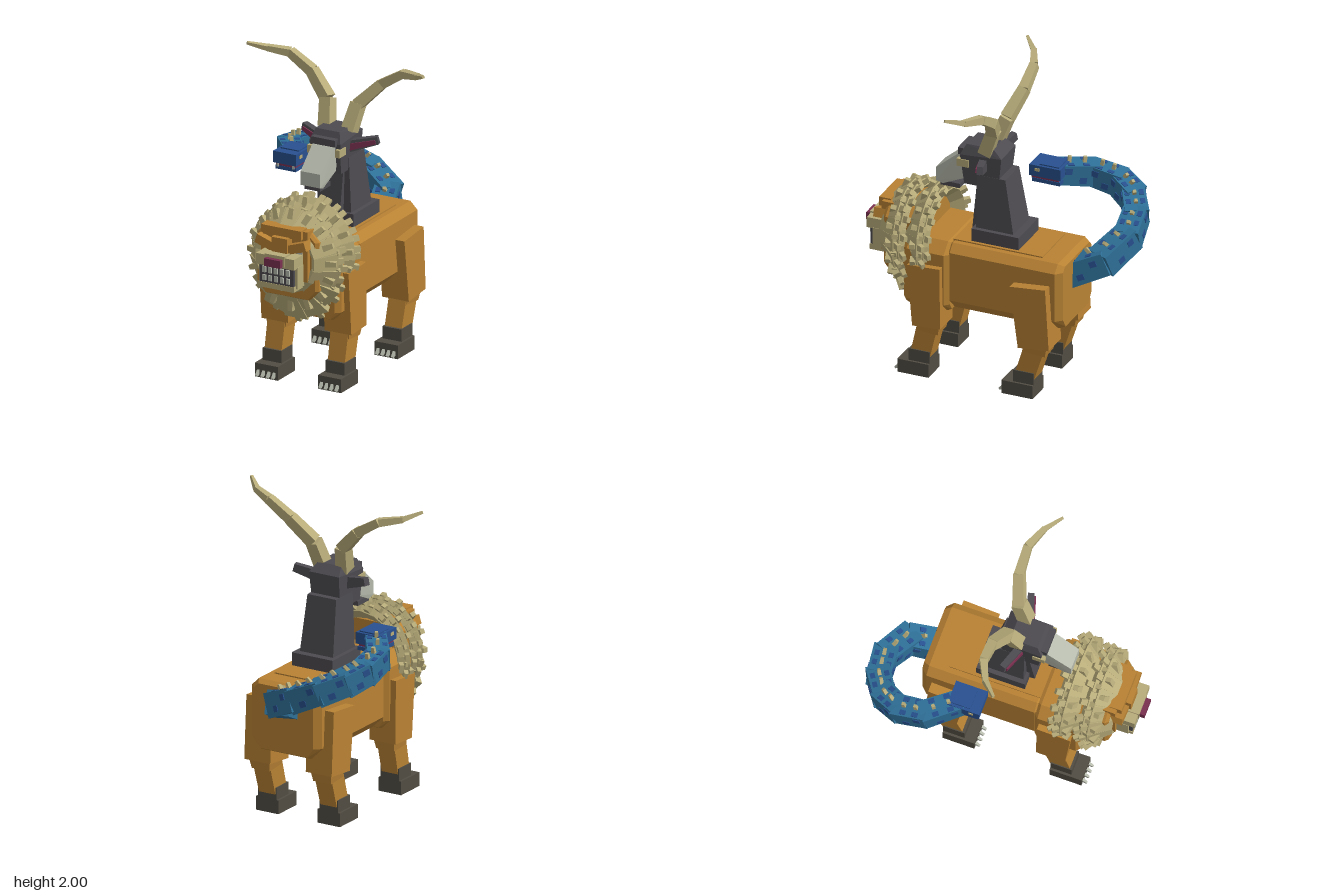
import * as THREE from 'three';
import { ConvexGeometry } from 'three/addons/geometries/ConvexGeometry.js';

const mat = (name, color) => Object.assign(new THREE.MeshStandardMaterial({ color }), { name });
const M = {
  fur: mat('ochre fur', 0xb98234),
  mane: mat('straw mane and horn', 0xb8ac7a),
  dark: mat('charcoal hide', 0x4d4b50),
  paw: mat('brown grey paw', 0x514d43),
  pale: mat('pale grey', 0xb6baac),
  red: mat('maroon', 0x7a3050),
  teal: mat('teal scale', 0x2f7199),
  blue: mat('deep blue scale', 0x28508f),
};
const V = (x, y, z) => new THREE.Vector3(x, y, z);

export function createModel() {
  const root = new THREE.Group();
  root.name = 'chimera';
  root.position.x = 0.035;

  const add = (name, material, geometry) => {
    const m = new THREE.Mesh(geometry, material);
    m.name = name;
    root.add(m);
    return m;
  };
  const box = (name, material, w, h, d, x, y, z) => {
    const m = add(name, material, new THREE.BoxGeometry(w, h, d));
    m.position.set(x, y, z);
    return m;
  };
  // Tapered block running from a to b; width and height at each end
  const beam = (name, material, a, b, w0, h0, w1 = w0, h1 = h0, up = V(0, 1, 0)) => {
    const g = new THREE.BoxGeometry(1, 1, 1).translate(0, 0, 0.5);
    const p = g.attributes.position;
    const dir = b.clone().sub(a), len = dir.length();
    for (let i = 0; i < p.count; i++) {
      const t = p.getZ(i);
      p.setXYZ(i, p.getX(i) * (w0 + (w1 - w0) * t), p.getY(i) * (h0 + (h1 - h0) * t), t * len);
    }
    const z = dir.normalize(), x = up.clone().cross(z).normalize(), y = z.clone().cross(x);
    g.applyMatrix4(new THREE.Matrix4().makeBasis(x, y, z).setPosition(a));
    g.computeVertexNormals();
    return add(name, material, g);
  };
  // Convex block from [halfWidth, y, z] pairs, mirrored left to right
  const hull = (name, material, pts) => add(name, material,
    new ConvexGeometry(pts.flatMap(([x, y, z]) => [V(x, y, z), V(-x, y, z)])));
  // Trunk block with chamfered long edges and chamfered ends
  const trunk = (name, hw, y0, y1, z0, z1, ct, cb, e) => {
    const pts = [];
    for (const [z, i] of [[z0, e], [z0 + e, 0], [z1 - e, 0], [z1, e]])
      pts.push([hw - ct - i / 2, y1 - i / 2, z], [hw - i, y1 - ct, z], [hw - i, y0 + cb, z], [hw - cb, y0 + i / 2, z]);
    hull(name, M.fur, pts);
  };

  // Trunk
  trunk('hindBody', 0.255, 0.46, 0.92, -0.53, 0.26, 0.05, 0.08, 0.04);
  trunk('chest', 0.28, 0.45, 0.925, 0.22, 0.53, 0.07, 0.06, 0.03);
  box('backPlate', M.fur, 0.34, 0.02, 0.6, 0, 0.918, -0.07);
  trunk('lionNeck', 0.22, 0.62, 1.08, 0.42, 0.69, 0.07, 0.07, 0.02);

  // Legs and paws
  const out = V(0, 0, 1);
  for (const s of [-1, 1]) {
    for (const [n, top, knee, shin, foot, d] of [
      ['front', 0.37, 0.35, 0.355, 0.41, 0.2], ['hind', -0.335, -0.375, -0.37, -0.295, 0.22]]) {
      const x = s * 0.225;
      beam(n + 'Thigh', M.fur, V(x, 0.77, top), V(x, 0.355, knee), 0.19, d + 0.02, 0.19, d - 0.01, out);
      beam(n + 'Knee', M.fur, V(x, 0.37, knee), V(x, 0.305, shin), 0.15, 0.16, 0.13, 0.14, out);
      beam(n + 'Shin', M.fur, V(x, 0.36, shin), V(x, 0.12, foot), 0.125, 0.135, 0.12, 0.13, out);
      box(n + 'Ankle', M.paw, 0.135, 0.085, 0.14, x, 0.128, foot);
      box(n + 'Paw', M.paw, 0.165, 0.09, 0.21, x, 0.046, foot + 0.035);
      for (let i = 0; i < 4; i++)
        beam(n + 'Claw', M.pale, V(x + (i - 1.5) * 0.038, 0.042, foot + 0.13), V(x + (i - 1.5) * 0.038, 0.015, foot + 0.165), 0.02, 0.025, 0.014, 0.015);
    }
  }

  // Lion face
  box('lionFace', M.fur, 0.33, 0.33, 0.1, 0, 0.92, 0.67);
  box('forehead', M.fur, 0.27, 0.06, 0.08, 0, 1.065, 0.71);
  box('noseBridge', M.fur, 0.11, 0.12, 0.08, 0, 0.98, 0.745);
  box('muzzle', M.mane, 0.27, 0.07, 0.12, 0, 0.9, 0.775);
  box('muzzleTop', M.mane, 0.14, 0.07, 0.12, 0, 0.91, 0.782);
  box('lionNose', M.red, 0.115, 0.05, 0.04, 0, 0.9, 0.853);
  box('mouth', M.dark, 0.24, 0.12, 0.11, 0, 0.803, 0.762);
  box('chin', M.mane, 0.25, 0.035, 0.12, 0, 0.73, 0.76);
  for (const s of [-1, 1]) {
    beam('brow', M.fur, V(s * 0.02, 0.955, 0.73), V(s * 0.175, 1.005, 0.73), 0.08, 0.055, 0.08, 0.06);
    box('lionEye', M.pale, 0.07, 0.035, 0.009, s * 0.095, 0.952, 0.723);
    box('muzzleSide', M.mane, 0.025, 0.14, 0.1, s * 0.125, 0.8, 0.745);
  }
  for (let i = 0; i < 5; i++) {
    const x = (i - 2) * 0.042;
    box('upperTooth', M.pale, 0.024, 0.04, 0.02, x, 0.835, 0.82);
    box('lowerTooth', M.pale, 0.024, 0.035, 0.02, x, 0.78, 0.817);
  }

  // Mane: rings of flared locks, each with a stud and a pointed tip
  const lock = (a, r0, r1, z0, z1, w0, w1) => {
    const c = Math.cos(a), s = Math.sin(a);
    const at = (r, z) => V(c * r, 0.87 + s * r, z);
    const p = at(r0, z0), q = at(r1, z1), dir = q.clone().sub(p).normalize();
    const side = V(-s, c, 0), n = side.clone().cross(dir).normalize();
    if (n.z < 0) n.negate();
    beam('maneLock', M.mane, p, q, w0, 0.045, w1, 0.045, n);
    const mid = p.clone().lerp(q, 0.5);
    beam('maneStud', M.mane, mid, mid.clone().addScaledVector(n, 0.045).addScaledVector(dir, 0.06), 0.045, 0.04, 0.035, 0.03, side);
    beam('maneTip', M.mane, p.clone().lerp(q, 0.8), q.clone().addScaledVector(dir, 0.045), 0.045, 0.035, 0.035, 0.025, n);
  };
  const N = 16;
  for (let i = 0; i < N; i++) {
    const a = Math.PI / 2 + i / N * Math.PI * 2, low = Math.max(0, -Math.sin(a)) ** 2;
    lock(a, 0.19 - 0.04 * low, 0.29 + 0.12 * low, 0.7, 0.57 - 0.02 * low, 0.085, 0.135 + 0.03 * low);
    const b = a + Math.PI / N;
    lock(b, 0.19, 0.285 + 0.08 * low, 0.65, 0.53, 0.08, 0.125);
  }
  for (let i = 0; i < 11; i++) {
    const a = -0.28 + i / 10 * (Math.PI + 0.56);
    lock(a, 0.21, 0.31, 0.52, 0.40, 0.09, 0.125);
    if (i < 10) lock(a + 0.185, 0.2, 0.29, 0.47, 0.365, 0.08, 0.11);
  }

  // Goat neck and head
  box('neckBase', M.dark, 0.3, 0.1, 0.32, 0, 0.962, -0.04);
  hull('goatNeck', M.dark, [[0.125, 0.93, 0.1], [0.125, 0.93, -0.165], [0.105, 1.37, 0.1], [0.105, 1.37, -0.09]]);
  beam('throat', M.dark, V(0, 1.3, 0.09), V(0, 0.93, 0.135), 0.15, 0.05, 0.13, 0.04, out);
  hull('goatHead', M.dark, [[0.1, 1.29, 0.19], [0.11, 1.49, 0.215], [0.085, 1.56, 0.18],
    [0.085, 1.56, 0], [0.11, 1.51, -0.065], [0.1, 1.29, -0.04]]);
  box('goatBrow', M.dark, 0.17, 0.045, 0.06, 0, 1.5, 0.21);
  hull('goatMuzzle', M.pale, [[0.075, 1.475, 0.24], [0.075, 1.46, 0.18], [0.07, 1.31, 0.2],
    [0.07, 1.345, 0.395], [0.07, 1.255, 0.395], [0.065, 1.24, 0.35]]);
  box('goatChin', M.dark, 0.11, 0.03, 0.13, 0, 1.238, 0.305);

  const hornPath = [[0.08, 1.53, 0.05], [0.108, 1.69, -0.01], [0.246, 1.83, -0.06], [0.4, 1.925, -0.06], [0.533, 1.95, 0], [0.625, 1.99, 0.085]];
  const hornSize = [0.085, 0.075, 0.062, 0.05, 0.034, 0.016];
  for (const s of [-1, 1]) {
    box('goatEye', M.mane, 0.03, 0.05, 0.08, s * 0.1, 1.435, 0.195);
    const a = V(s * 0.09, 1.44, 0.065), b = V(s * 0.265, 1.49, 0.01);
    beam('ear', M.dark, a, b, 0.05, 0.075, 0.04, 0.05);
    const shift = V(s * 0.008, -0.004, 0.025);
    beam('innerEar', M.red, a.clone().add(shift), b.clone().lerp(a, 0.08).add(shift), 0.009, 0.045, 0.009, 0.025);
    for (let i = 0; i < 5; i++) {
      const [p, q] = [hornPath[i], hornPath[i + 1]].map(([x, y, z]) => V(s * x, y, z));
      beam('hornSegment', M.mane, p, q.lerp(p, -0.03), hornSize[i], hornSize[i], hornSize[i + 1] * 1.05, hornSize[i + 1] * 1.05, out);
    }
  }

  // Serpent tail: overlapping segments with scale patches and a row of spines
  const tail = [[0, 0.77, -0.47], [-0.06, 0.86, -0.68], [-0.25, 0.95, -0.765], [-0.41, 1.02, -0.745], [-0.54, 1.08, -0.665],
    [-0.605, 1.125, -0.545], [-0.595, 1.16, -0.375], [-0.465, 1.19, -0.2]].map(p => V(...p));
  for (let i = 0; i < tail.length - 1; i++) {
    const p = tail[i], q = tail[i + 1], k = 0.165 - i * 0.004;
    const dir = q.clone().sub(p).normalize(), side = V(0, 1, 0).cross(dir).normalize();
    const up = dir.clone().cross(side);
    beam('tailSegment', M.teal, p.clone().addScaledVector(dir, -0.025), q.clone().addScaledVector(dir, 0.025), k, k, k - 0.01, k - 0.01);
    for (const s of [-1, 1])
      for (let j = 0; j < 2; j++) {
        const c = p.clone().lerp(q, 0.25 + j * 0.45).addScaledVector(side, s * (k / 2 - 0.003)).addScaledVector(up, j ? 0.03 : -0.03);
        beam('scalePatch', M.blue, c, c.clone().addScaledVector(dir, 0.045), 0.009, 0.04);
        const t = p.clone().lerp(q, 0.2 + j * 0.45).addScaledVector(up, k / 2 - 0.003).addScaledVector(side, s * 0.045);
        beam('scalePatch', M.blue, t, t.clone().addScaledVector(dir, 0.04), 0.03, 0.009);
      }
    for (let j = 0; j < 2; j++) {
      const c = p.clone().lerp(q, 0.3 + j * 0.45).addScaledVector(up, k / 2 - 0.01);
      if (c.z < -0.53) beam('tailSpine', M.mane, c, c.clone().addScaledVector(up, 0.04).addScaledVector(dir, -0.015), 0.025, 0.025, 0.02, 0.02, dir);
      else if (i > 3) beam('tailSpine', M.mane, c, c.clone().addScaledVector(up, 0.045), 0.025, 0.025, 0.02, 0.02, dir);
    }
  }

  // Serpent head
  const hx = -0.437;
  box('serpentHead', M.blue, 0.165, 0.075, 0.21, hx, 1.22, -0.152);
  box('serpentCrown', M.blue, 0.13, 0.02, 0.13, hx, 1.255, -0.175);
  box('serpentMouth', M.red, 0.14, 0.02, 0.18, hx, 1.175, -0.15);
  box('serpentJaw', M.blue, 0.145, 0.025, 0.19, hx, 1.152, -0.155);
  for (const s of [-1, 1]) {
    box('fang', M.pale, 0.014, 0.03, 0.014, hx + s * 0.055, 1.172, -0.06);
    box('serpentEye', M.mane, 0.009, 0.02, 0.03, hx + s * 0.083, 1.23, -0.1);
  }
  return root;
}
